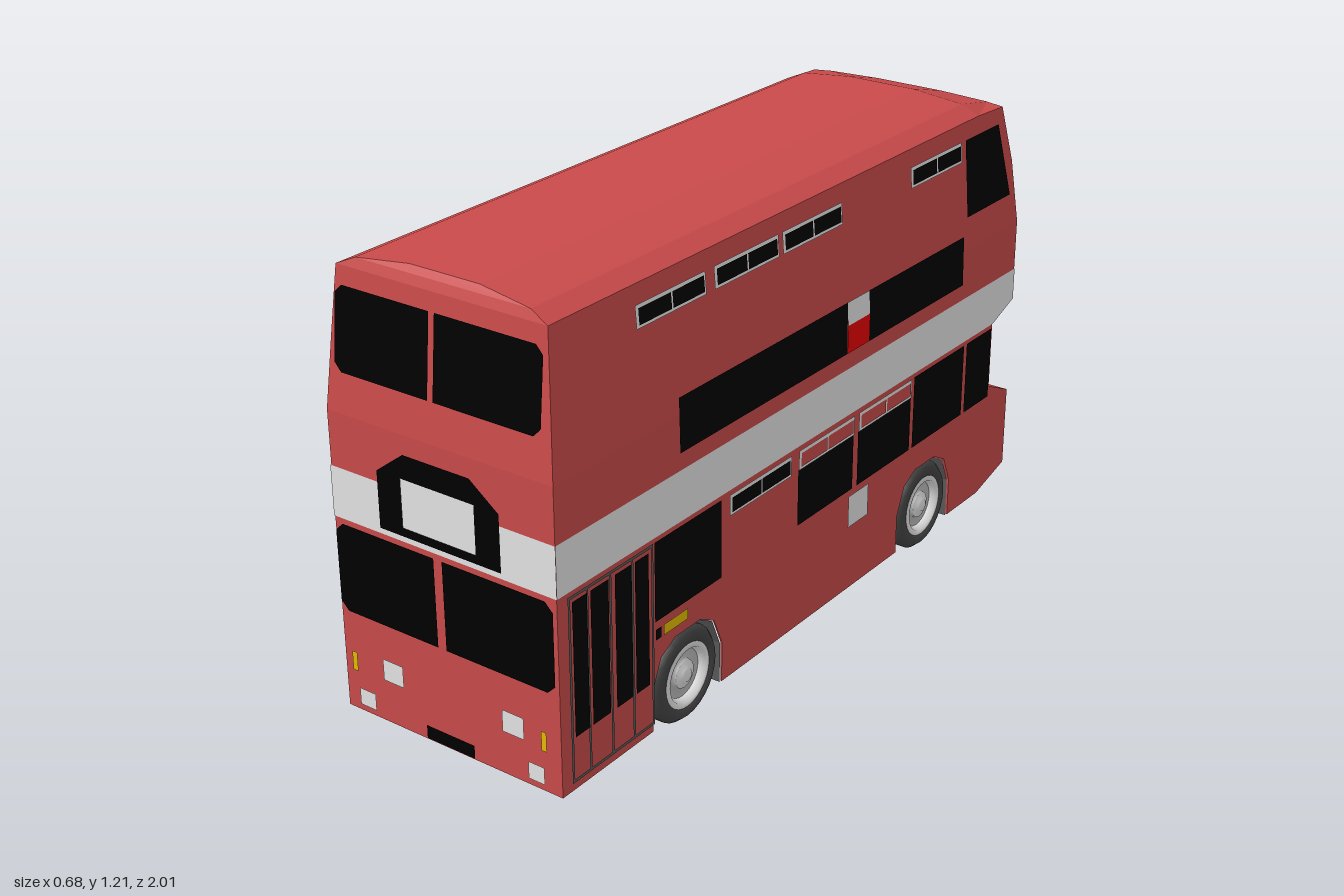
import * as THREE from 'three';

const mat = (name, color, side = THREE.FrontSide) => {
  const m = new THREE.MeshStandardMaterial({ color, side });
  m.name = name;
  return m;
};

export function createModel() {
  const bus = new THREE.Group();
  bus.name = 'doubleDeckerBus';
  const red = mat('bodyRed', 0xc94a4a), silver = mat('silver', 0xe3e3e3);
  const black = mat('glassBlack', 0x000000), yellow = mat('amber', 0xe3b900);
  const bright = mat('signalRed', 0xe60000), tyreMat = mat('tyreGrey', 0x444444);
  const archMat = mat('archGrey', 0x585858, THREE.DoubleSide), rimMat = mat('rimGrey', 0xb8b8b8);

  const add = (name, geo, material, parent = bus) => {
    const mesh = new THREE.Mesh(geo, material);
    mesh.name = name;
    parent.add(mesh);
    return mesh;
  };

  // Side profile of [z, y] points, extruded across the width from x0 to x1
  const sideExtrude = (pts, x0, x1) => {
    const shape = new THREE.Shape(pts.map(([z, y]) => new THREE.Vector2(-z, y)));
    const geo = new THREE.ExtrudeGeometry(shape, { depth: x1 - x0, bevelEnabled: false });
    return geo.rotateY(Math.PI / 2).translate(x0, 0, 0);
  };

  // Flat-shaded skin between rows of points
  const loft = (rows) => {
    const v = [];
    for (let s = 0; s + 1 < rows.length; s++) {
      for (let i = 0; i + 1 < rows[s].length; i++) {
        const a = rows[s][i], b = rows[s][i + 1], c = rows[s + 1][i + 1], d = rows[s + 1][i];
        v.push(...a, ...d, ...c, ...a, ...c, ...b);
      }
    }
    const geo = new THREE.BufferGeometry();
    geo.setAttribute('position', new THREE.Float32BufferAttribute(v, 3));
    geo.computeVertexNormals();
    return geo;
  };

  // Lower body: a core that is hollow beneath, and side skins with wheel arches
  const axles = [0.53, -0.55];
  const arch = [[0.137, 0.04], [0.137, 0.15], [0.105, 0.225], [0.05, 0.255],
    [-0.05, 0.255], [-0.105, 0.225], [-0.137, 0.15], [-0.137, 0.04]];
  const archAt = (c) => arch.map(([z, y]) => [c + z, y]);
  const tail = [[-0.85, 0.04], [-1, 0.08], [-1, 0.31], [-0.89, 0.36], [-0.89, 0.55], [-1, 0.59], [-1, 0.68], [1, 0.68]];
  add('lowerBodyCore', sideExtrude([[1, 0.04], [0.994, 0.04], [0.994, 0.258],
    ...archAt(axles[1]).slice(4), ...tail], -0.326, 0.326), red);
  for (const x of [-0.33, 0.326]) {
    add('sideSkin', sideExtrude([[1, 0.04], ...archAt(axles[0]), ...archAt(axles[1]), ...tail], x, x + 0.004), red);
  }
  for (const c of axles) {
    const rows = [0.326, -0.326].map((x) => arch.map(([z, y]) => [x, y - 0.003, c + z * 0.98]));
    add('wheelArchLining', loft(rows), archMat);
  }

  // Upper deck: three stations of [x, y, z], mirrored over the roof
  const mirror = (half) => [...half, ...half.map(([x, y, z]) => [-x, y, z]).reverse()];
  const front = [[0.33, 0.68, 1], [0.33, 0.82, 1], [0.316, 1, 0.983], [0.302, 1.167, 0.967],
    [0.25, 1.19, 0.958], [0.1, 1.205, 0.945]];
  const rear = [[0.33, 0.68, -1], [0.33, 0.82, -1], [0.316, 1, -0.975], [0.302, 1.16, -0.93],
    [0.25, 1.163, -0.938], [0.1, 1.166, -0.945]];
  const shoulder = front.map(([x, y]) => [x, y, -0.8]);
  add('upperDeck', loft([front, shoulder, rear].map(mirror)), red);
  add('upperFront', loft(front.map(([x, y, z]) => [[x, y, z], [-x, y, z]])), red);
  add('upperBack', loft(rear.map(([x, y, z]) => [[-x, y, z], [x, y, z]])), red);

  // Faces onto which thin panels are laid: sign turns the given coordinate into "rightwards"
  const lean = (y, base, k) => base - Math.max(0, y - 0.82) * k;
  const backZ = (y) => lean(y, 1, 0.139) - Math.max(0, y - 1) * 0.142;
  const faces = {
    front: { sign: 1, at: (u, y, o) => [u, y, lean(y, 1, 0.0957) + o] },
    right: { sign: -1, at: (u, y, o) => [lean(y, 0.33, 0.081) + o, y, -u] },
    left: { sign: 1, at: (u, y, o) => [-lean(y, 0.33, 0.081) - o, y, u] },
    back: { sign: -1, at: (u, y, o) => [-u, y, -backZ(y) - o] },
    recess: { sign: -1, at: (u, y, o) => [-u, y, -0.89 - o] },
  };
  const poly = (name, material, face, pts, layer = 0) => {
    const f = faces[face];
    const geo = new THREE.ShapeGeometry(new THREE.Shape(pts.map(([u, y]) => new THREE.Vector2(u * f.sign, y))));
    const p = geo.attributes.position;
    for (let i = 0; i < p.count; i++) p.setXYZ(i, ...f.at(p.getX(i), p.getY(i), 0.0035 + layer * 0.002));
    geo.computeVertexNormals();
    return add(name, geo, material);
  };
  const rect = (name, material, face, a, b, y0, y1, layer = 0) =>
    poly(name, material, face, [[a, y0], [b, y0], [b, y1], [a, y1]], layer);
  // Pane with chamfers of size ca at edge a and cb at edge b (a < b)
  const pane = (name, face, a, b, y0, y1, ca, cb, layer = 0) => poly(name, black, face, [
    [a + ca, y0], [b - cb, y0], [b, y0 + cb], [b, y1 - cb], [b - cb, y1], [a + ca, y1], [a, y1 - ca], [a, y0 + ca]], layer);
  // Framed two-pane vent
  const vent = (face, a, b, y0, y1, fill = black) => {
    const m = (a + b) / 2, t = 0.008;
    rect('ventFrame', silver, face, a, b, y0, y1, 1);
    rect('ventPane', fill, face, a + t, m - t / 3, y0 + t, y1 - t, 2);
    rect('ventPane', fill, face, m + t / 3, b - t, y0 + t, y1 - t, 2);
  };

  // Silver waist band around all four sides
  rect('waistBand', silver, 'front', -0.332, 0.332, 0.55, 0.68, -1);
  rect('waistBand', silver, 'back', -0.332, 0.332, 0.59, 0.68, -1);
  for (const face of ['left', 'right'])
    poly('waistBand', silver, face, [[1, 0.55], [1, 0.68], [-1, 0.68], [-1, 0.59], [-0.89, 0.55]], -1);

  // Front: windscreens, destination box, lamps, number plate
  pane('upperWindscreen', 'front', -0.302, -0.024, 0.92, 1.123, 0.02, 0.001);
  pane('upperWindscreen', 'front', -0.008, 0.295, 0.92, 1.123, 0.001, 0.02);
  pane('lowerWindscreen', 'front', -0.327, -0.024, 0.307, 0.537, 0.022, 0.001);
  pane('lowerWindscreen', 'front', 0.001, 0.321, 0.307, 0.537, 0.001, 0.022);
  poly('destinationBox', black, 'front', [[-0.183, 0.565], [0.177, 0.565], [0.177, 0.71],
    [0.095, 0.772], [-0.1, 0.772], [-0.183, 0.71]]);
  rect('destinationBlind', silver, 'front', -0.11, 0.107, 0.588, 0.712, 1);
  for (const [a, b, y0, y1] of [[-0.205, -0.142, 0.155, 0.212], [0.161, 0.224, 0.155, 0.212],
    [-0.288, -0.237, 0.058, 0.103], [0.234, 0.281, 0.058, 0.103]]) rect('headlamp', silver, 'front', a, b, y0, y1);
  rect('indicator', yellow, 'front', -0.305, -0.289, 0.148, 0.199);
  rect('indicator', yellow, 'front', 0.275, 0.29, 0.148, 0.199);
  rect('numberPlate', black, 'front', -0.075, 0.072, 0.045, 0.08);

  // Upper deck side strips and rear quarter windows on both sides
  for (const [face, g0, g1] of [['right', -0.235, -0.135], ['left', 0.005, 0.1]]) {
    rect('sideStrip', black, face, -0.705, g0, 0.725, 0.862);
    rect('sideStrip', black, face, g1, 0.56, 0.725, 0.862);
    rect('stripBadgeTop', silver, face, g0, g1, 0.8, 0.862);
    rect('stripBadgeBottom', bright, face, g0, g1, 0.725, 0.8);
    poly('rearQuarterWindow', black, face, [[-0.725, 0.91], [-0.955, 0.91], [-0.9, 1.12], [-0.725, 1.12]]);
    rect('serviceHatch', silver, face, -0.255, -0.16, 0.225, 0.315);
  }

  // Door side
  for (const z of [0.435, 0.147, -0.125, -0.7]) vent('right', z, z + 0.255, 1.067, 1.122);
  for (const [a, b, top] of [[0.4, 0.66, 0.54], [-0.175, 0.077, 0.487], [-0.455, -0.197, 0.487],
    [-0.73, -0.47, 0.54], [-0.88, -0.745, 0.54]]) rect('lowerWindow', black, 'right', a, b, 0.333, top);
  vent('right', 0.11, 0.37, 0.485, 0.54);
  vent('right', -0.175, 0.077, 0.487, 0.54, red);
  vent('right', -0.455, -0.197, 0.487, 0.54, red);
  rect('sideRepeater', yellow, 'right', 0.535, 0.627, 0.284, 0.312);
  rect('repeaterMount', black, 'right', 0.637, 0.658, 0.284, 0.312);
  for (const z of [0.665, 0.738, 0.817, 0.898, 0.96]) rect('doorPost', archMat, 'right', z, z + 0.008, 0.065, 0.54);
  for (const y of [0.062, 0.532]) rect('doorRail', archMat, 'right', 0.665, 0.968, y, y + 0.008);
  for (const [a, b] of [[0.905, 0.956], [0.83, 0.893], [0.747, 0.807], [0.685, 0.735]])
    rect('doorGlass', black, 'right', a, b, 0.18, 0.525, 1);

  // Driver side
  for (const [a, b] of [[-0.88, -0.745], [-0.71, -0.47], [-0.44, -0.2], [-0.165, 0.075], [0.1, 0.345],
    [0.71, 0.84], [0.85, 0.985]]) rect('lowerWindow', black, 'left', a, b, 0.333, 0.54);
  vent('left', -0.44, -0.2, 0.487, 0.54);
  vent('left', 0.1, 0.345, 0.487, 0.54);
  rect('cabWindowBar', silver, 'left', 0.841, 0.849, 0.333, 0.54);
  for (const [a, b] of [[-0.42, -0.17], [0.43, 0.68]]) rect('upperWindow', black, 'left', a, b, 0.895, 1.12);
  for (const [a, b] of [[-0.71, -0.46], [-0.15, 0.1], [0.13, 0.38], [0.43, 0.68]]) vent('left', a, b, 1.067, 1.122);
  rect('sideRepeater', yellow, 'left', 0.66, 0.685, 0.24, 0.295);

  // Back: windows, route box, lamps, plate
  pane('upperRearWindow', 'back', -0.22, 0.22, 0.88, 1.065, 0.03, 0.03, 3);
  pane('lowerRearWindow', 'recess', -0.165, 0.165, 0.385, 0.5, 0.02, 0.02);
  rect('routeBox', black, 'back', -0.075, 0.07, 0.65, 0.775);
  for (const x of [-0.04, 0.015]) rect('routeBlind', silver, 'back', x, x + 0.026, 0.67, 0.75, 1);
  rect('rearLampBar', black, 'back', -0.1, 0.1, 0.592, 0.625);
  for (const x of [-0.06, 0.025]) rect('rearLamp', silver, 'back', x, x + 0.035, 0.601, 0.616, 1);
  for (const x of [-0.3, 0.22]) {
    [bright, silver, yellow].forEach((m, i) =>
      rect('tailLamp', m, 'back', x, x + 0.08, 0.125 + i * 0.032, 0.157 + i * 0.032));
  }
  rect('rearPlate', black, 'back', -0.07, 0.07, 0.09, 0.13);

  // Wheels: tyre, stepped rim and hub turned from profiles
  const turned = (pts) => new THREE.LatheGeometry(pts.map(([r, y]) => new THREE.Vector2(r, y)), 28);
  for (const z of axles) {
    for (const s of [1, -1]) {
      const wheel = new THREE.Group();
      wheel.name = 'wheel';
      add('tyre', turned([[0, -0.03], [0.08, -0.035], [0.112, -0.035], [0.125, -0.02], [0.125, 0.02],
        [0.112, 0.035], [0.085, 0.035], [0.08, 0.01]]), tyreMat, wheel);
      add('rim', turned([[0.086, 0.035], [0.072, 0.037], [0.064, 0.018]]), silver, wheel);
      add('rimDish', turned([[0.064, 0.018], [0.04, 0.014], [0.036, 0.026]]), rimMat, wheel);
      add('hub', turned([[0.036, 0.026], [0.018, 0.032], [0.016, 0.036], [0, 0.036]]), silver, wheel);
      wheel.rotation.z = -s * Math.PI / 2;
      wheel.position.set(s * 0.294, 0.125, z);
      bus.add(wheel);
    }
  }
  return bus;
}
